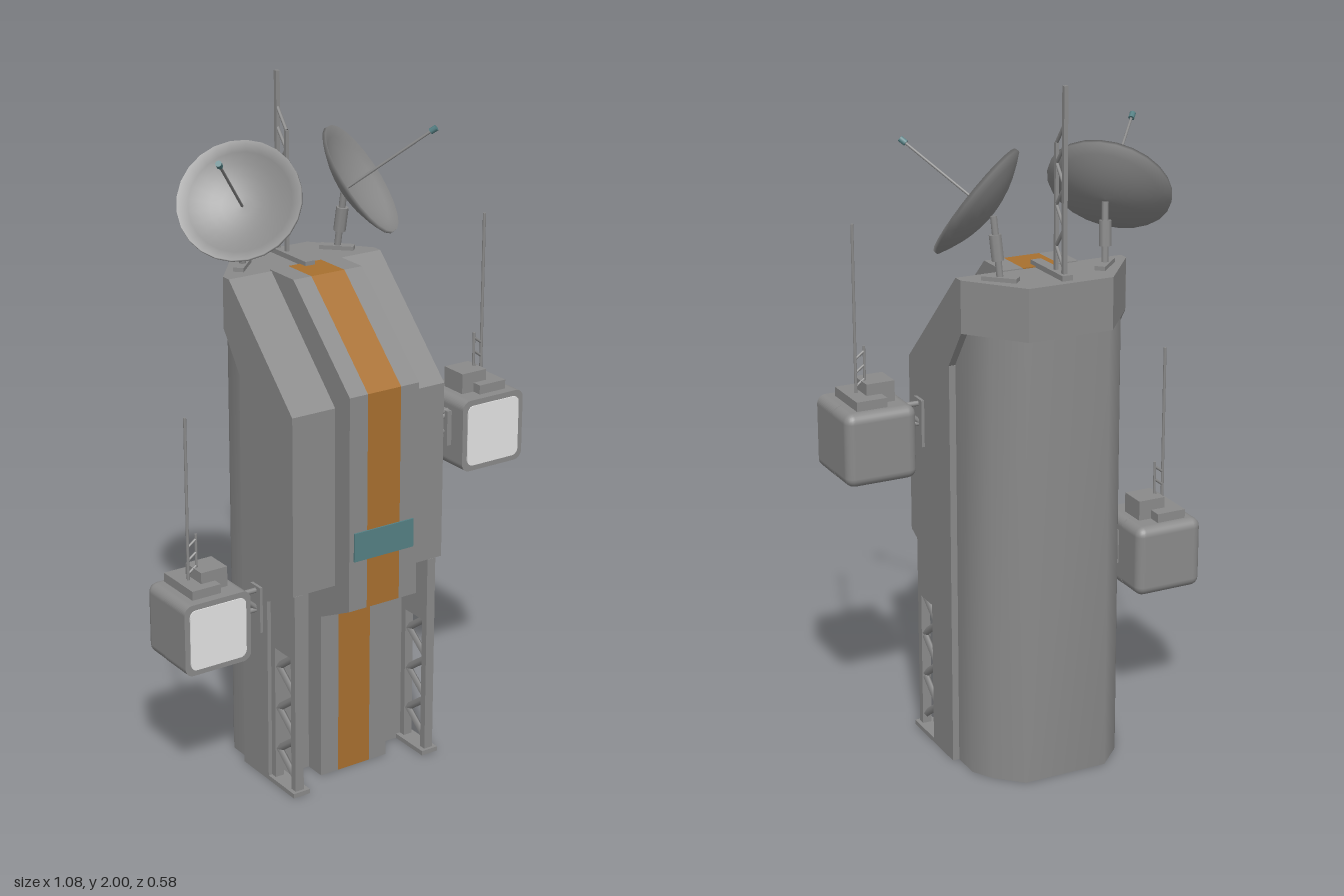
import * as THREE from 'three';
import { RoundedBoxGeometry } from 'three/addons/geometries/RoundedBoxGeometry.js';

export function createModel() {
  const root = new THREE.Group();
  const mat = (name, color, side = THREE.FrontSide) => {
    const m = new THREE.MeshStandardMaterial({ color, side });
    m.name = name;
    return m;
  };
  const grey = mat('hull grey', 0x8a8a8a, THREE.DoubleSide);
  const orange = mat('stripe orange', 0xa8702f, THREE.DoubleSide);
  const teal = mat('panel teal', 0x558084);
  const pale = mat('window pale grey', 0xe4e4e4);

  const add = (name, geo, material = grey, parent = root) => {
    const m = new THREE.Mesh(geo, material);
    m.name = name;
    parent.add(m);
    return m;
  };
  const V = (x, y, z) => new THREE.Vector3(x, y, z);
  const toShape = pts => new THREE.Shape(pts.map(p => new THREE.Vector2(p[0], p[1])));
  // Box given by its minimum and maximum corners
  const block = (name, a, b, material, parent) =>
    add(name, new THREE.BoxGeometry(Math.abs(b[0] - a[0]), b[1] - a[1], b[2] - a[2])
      .translate((a[0] + b[0]) / 2, (a[1] + b[1]) / 2, (a[2] + b[2]) / 2), material, parent);
  // Side profile of [z, y] points extruded between two x positions
  const profile = (name, pts, x0, x1, material) =>
    add(name, new THREE.ExtrudeGeometry(toShape(pts), { depth: x1 - x0, bevelEnabled: false })
      .rotateY(-Math.PI / 2).translate(x1, 0, 0), material);
  // Straight bar between two points
  const rod = (name, a, b, r, parent = root, r2 = r, sides = 8, material = grey) => {
    const d = b.clone().sub(a);
    const m = add(name, new THREE.CylinderGeometry(r2, r, d.length(), sides), material, parent);
    m.position.copy(a).addScaledVector(d, 0.5);
    m.quaternion.setFromUnitVectors(V(0, 1, 0), d.normalize());
    return m;
  };
  // Open vertical wall along [x, z] points, either faceted or smooth
  const wall = (name, pts, y0, y1, material, smooth = false) => {
    const pos = [], idx = [];
    pts.forEach(([x, z]) => pos.push(x, y0, z, x, y1, z));
    for (let i = 0; i < pts.length - 1; i++) {
      const k = i * 2;
      idx.push(k, k + 2, k + 3, k, k + 3, k + 1);
    }
    let g = new THREE.BufferGeometry();
    g.setAttribute('position', new THREE.Float32BufferAttribute(pos, 3));
    g.setIndex(idx);
    if (!smooth) g = g.toNonIndexed();
    g.computeVertexNormals();
    add(name, g, material);
  };

  // Main hull with sloped shoulders
  profile('shoulderHull', [[0.08, 0.57], [0.215, 0.635], [0.215, 1.165], [-0.1, 1.475], [-0.131, 1.475],
    [-0.131, 1.325], [-0.05, 1.21], [-0.05, 0.57]], -0.255, 0.255, grey);
  // Chamfered roof cap at the back
  add('roofCap', new THREE.ExtrudeGeometry(
    toShape([[-0.255, 0.13], [0.255, 0.13], [0.128, 0.287], [-0.128, 0.287]]),
    { depth: 0.15, bevelEnabled: false }).rotateX(-Math.PI / 2).translate(0, 1.325, 0));
  // Central spine, split so the stripe runs through it
  const spine = [[0.05, 0.465], [0.285, 0.58], [0.285, 1.215], [0.01, 1.478], [-0.107, 1.478], [-0.107, 1.3], [0.05, 1.2]];
  profile('spineRight', spine, -0.115, -0.055, grey);
  profile('spineStripe', spine, -0.055, 0.055, orange);
  profile('spineLeft', spine, 0.055, 0.115, grey);
  block('frontPanel', [-0.1, 0.73, 0.284], [0.1, 0.815, 0.29], teal);

  // Lower shell, open underneath
  const zc = 0.145;
  wall('lowerShellRight', [[-0.255, -0.05], [-0.255, 0.08], [-0.115, 0.08], [-0.115, zc], [-0.055, zc]], 0, 0.575, grey);
  wall('lowerStripe', [[-0.055, zc], [0.055, zc]], 0, 0.51, orange);
  wall('lowerShellLeft', [[0.055, zc], [0.115, zc], [0.115, 0.08], [0.255, 0.08], [0.255, -0.05]], 0, 0.575, grey);
  wall('backShell', [[0.235, -0.05], [0.235, -0.14], [0.2, -0.2], [0.128, -0.27], [-0.128, -0.27],
    [-0.2, -0.2], [-0.235, -0.14], [-0.235, -0.05]], 0, 1.326, grey, true);
  for (const s of [-1, 1]) block('backSeam', [s * 0.23, 0, -0.052], [s * 0.255, 1.21, -0.045]);

  // Lattice legs under the shoulders
  for (const s of [-1, 1]) {
    const leg = new THREE.Group();
    leg.name = 'latticeLeg';
    root.add(leg);
    const x0 = s * 0.215, x1 = s * 0.243, x = s * 0.229;
    block('legFrontPost', [x0, 0, 0.182], [x1, 0.5, 0.204], grey, leg);
    block('legBackPost', [x0, 0, 0.08], [x1, 0.5, 0.1], grey, leg);
    block('legTopPlate', [x0, 0.43, 0.08], [x1, 0.628, 0.204], grey, leg);
    block('legFoot', [s * 0.2, 0, 0.08], [s * 0.255, 0.014, 0.213], grey, leg);
    for (let i = 0; i < 6; i++) {
      const za = i % 2 ? 0.1 : 0.19, zb = i % 2 ? 0.19 : 0.1;
      rod('legBrace', V(x, 0.04 + i * 0.066, za), V(x, 0.106 + i * 0.066, zb), 0.011, leg, 0.011, 4);
    }
  }

  // Roof mast with a ladder-like lattice
  const mast = new THREE.Group();
  mast.name = 'roofMast';
  root.add(mast);
  block('mastBase', [-0.016, 1.475, -0.265], [0.016, 1.49, -0.078], grey, mast);
  block('mastPole', [-0.006, 1.48, -0.25], [0.006, 2, -0.238], grey, mast);
  block('mastFrontPost', [-0.005, 1.48, -0.202], [0.005, 1.84, -0.192], grey, mast);
  rod('mastTopBrace', V(0, 1.84, -0.197), V(0, 1.9, -0.244), 0.005, mast);
  for (let i = 0; i < 6; i++) {
    const y = 1.5 + i * 0.057, f = i % 2;
    rod('mastBrace', V(0, y, f ? -0.197 : -0.244), V(0, y + 0.057, f ? -0.244 : -0.197), 0.005, mast);
  }

  // Pair of dishes facing up, forward and outward
  const R = 0.175, depth = 0.05;
  const bowl = [];
  for (let i = 0; i <= 6; i++) bowl.push(new THREE.Vector2(R * i / 6, depth * (i / 6) ** 2));
  for (let i = 6; i >= 0; i--) bowl.push(new THREE.Vector2((R + 0.001) * i / 6, depth * (i / 6) ** 2 - 0.01));
  for (const s of [-1, 1]) {
    const dish = new THREE.Group();
    dish.name = s > 0 ? 'leftDish' : 'rightDish';
    root.add(dish);
    const n = V(s, 1, 1).normalize(), c = V(s * 0.177, 1.66, -0.15);
    const b = add('dishBowl', new THREE.LatheGeometry(bowl, 24), grey, dish);
    b.position.copy(c);
    b.quaternion.setFromUnitVectors(V(0, 1, 0), n);
    const tip = V(s * 0.352, 1.838, 0.018);
    rod('dishFeedArm', c, tip, 0.004, dish);
    rod('dishFeedTip', tip.clone().addScaledVector(n, -0.012), tip.clone().addScaledVector(n, 0.008), 0.009, dish, 0.009, 8, teal);
    rod('dishPost', V(s * 0.16, 1.475, -0.18), V(s * 0.17, 1.65, -0.16), 0.01, dish);
    rod('dishSleeve', V(s * 0.164, 1.53, -0.174), V(s * 0.168, 1.6, -0.165), 0.018, dish);
    const foot = add('dishFoot', new THREE.BoxGeometry(0.03, 0.012, 0.1), grey, dish);
    foot.position.set(s * 0.16, 1.481, -0.18);
    foot.rotation.y = s * Math.PI / 4;
  }

  // Rounded rectangle plate facing the front
  const roundedPlate = (w, r, d) => {
    const h = w / 2, q = h - r, sh = new THREE.Shape();
    sh.absarc(q, q, r, 0, Math.PI / 2);
    sh.absarc(-q, q, r, Math.PI / 2, Math.PI);
    sh.absarc(-q, -q, r, Math.PI, Math.PI * 1.5);
    sh.absarc(q, -q, r, Math.PI * 1.5, Math.PI * 2);
    return new THREE.ExtrudeGeometry(sh, { depth: d, bevelEnabled: false, curveSegments: 5 });
  };

  // Side pods on truss arms; y is the pod base and z its back
  const pod = (name, s, y, z) => {
    const g = new THREE.Group();
    g.name = name;
    g.position.set(0, y, z);
    root.add(g);
    const cx = s * 0.433;
    add('podBody', new RoundedBoxGeometry(0.215, 0.215, 0.2, 3, 0.028), grey, g).position.set(cx, 0.1075, 0.1);
    add('podFrontShell', roundedPlate(0.215, 0.026, 0.113), grey, g).position.set(cx, 0.1075, 0.1);
    add('podWindow', roundedPlate(0.182, 0.02, 0.005), pale, g).position.set(cx, 0.1075, 0.211);
    block('podLowStep', [s * 0.405, 0.21, 0.03], [s * 0.497, 0.242, 0.185], grey, g);
    block('podHighStep', [s * 0.365, 0.21, 0.07], [s * 0.45, 0.275, 0.155], grey, g);
    // Whip antenna with a short lattice
    rod('podAntenna', V(s * 0.465, 0.24, 0.11), V(s * 0.465, 0.725, 0.11), 0.0045, g);
    rod('podAntennaPost', V(s * 0.438, 0.27, 0.11), V(s * 0.438, 0.375, 0.11), 0.004, g);
    for (let i = 0; i < 3; i++) {
      rod('podAntennaBrace', V(s * 0.438, 0.28 + i * 0.04, 0.11), V(s * 0.465, 0.26 + i * 0.04, 0.11), 0.004, g);
    }
    // Arm to the hull
    block('armHullPlate', [s * 0.25, 0.045, 0.115], [s * 0.264, 0.185, 0.165], grey, g);
    block('armPodPlate', [s * 0.31, 0.07, 0.12], [s * 0.328, 0.175, 0.16], grey, g);
    for (const [ya, yb] of [[0.17, 0.17], [0.11, 0.11], [0.11, 0.17]]) {
      rod('armBar', V(s * 0.255, ya, 0.14), V(s * 0.325, yb, 0.14), 0.008, g);
    }
  };
  pod('leftPod', 1, 0.875, 0);
  pod('rightPod', -1, 0.42, -0.108);

  return root;
}
